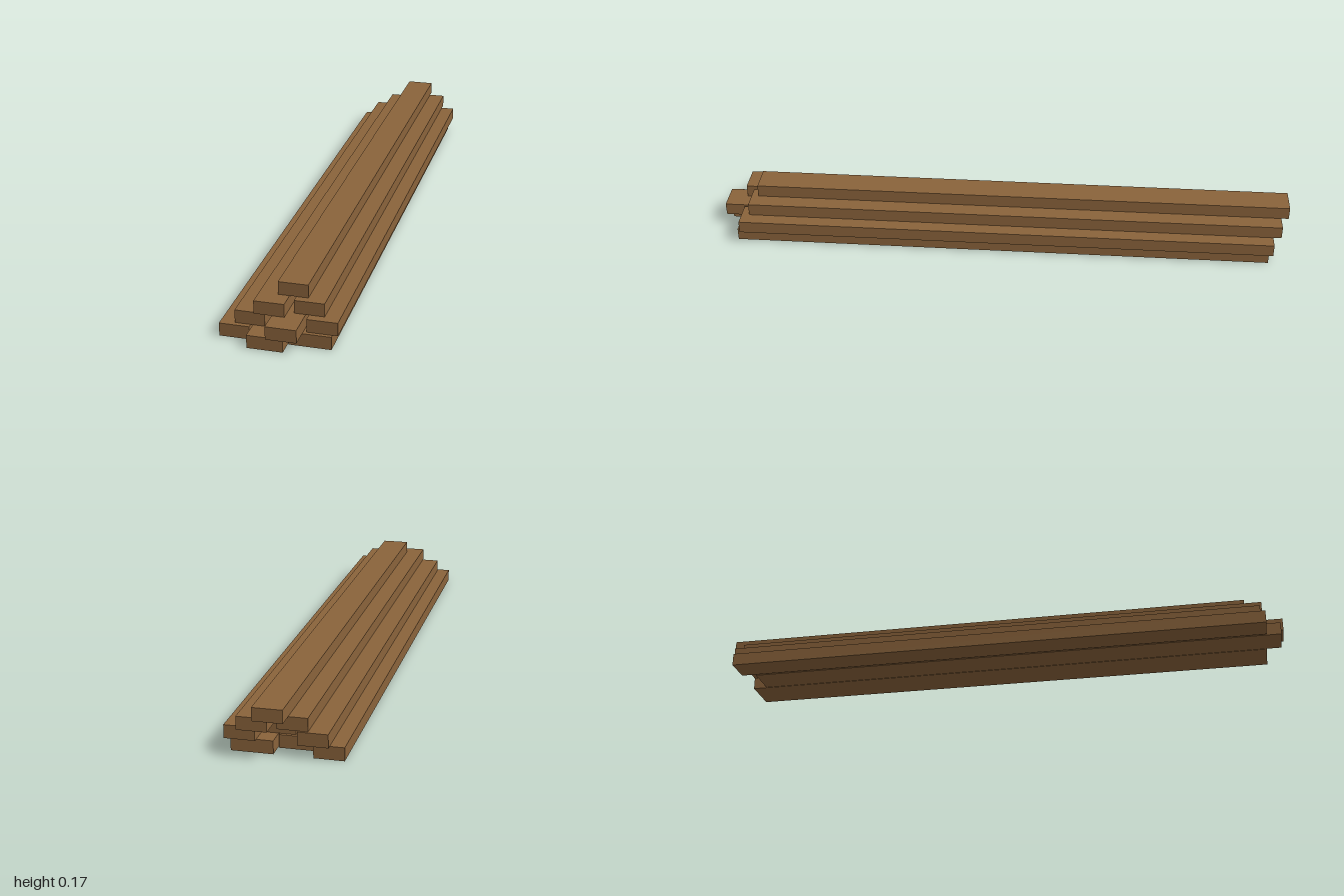
import * as THREE from 'three';

export function createModel() {
  const group = new THREE.Group();
  group.name = 'lumberStack';
  const wood = new THREE.MeshStandardMaterial({ color: 0x8a633b });
  wood.name = 'brown wood';

  const thickness = 0.0432;
  const length = 1.875;

  // Layers from the ground up; each plank is [left edge x, right edge x, front end z]
  const layers = [
    [[-0.185, -0.089, 0.94], [-0.082, 0.031, 0.99], [0.034, 0.167, 0.94]],
    [[-0.139, -0.044, 0.925], [-0.02, 0.077, 1.0], [0.087, 0.184, 0.928]],
    [[-0.076, 0.02, 0.932], [0.041, 0.136, 0.9]],
    [[-0.016, 0.079, 0.875]],
  ];

  layers.forEach((planks, level) => {
    const layer = new THREE.Group();
    layer.name = `plankLayer${level + 1}`;
    layer.position.y = (level + 0.5) * thickness;
    planks.forEach(([x0, x1, front], i) => {
      const plank = new THREE.Mesh(new THREE.BoxGeometry(x1 - x0, thickness, length), wood);
      plank.name = `plank${level + 1}_${i + 1}`;
      plank.position.set((x0 + x1) / 2, 0, front - length / 2);
      layer.add(plank);
    });
    group.add(layer);
  });

  return group;
}
